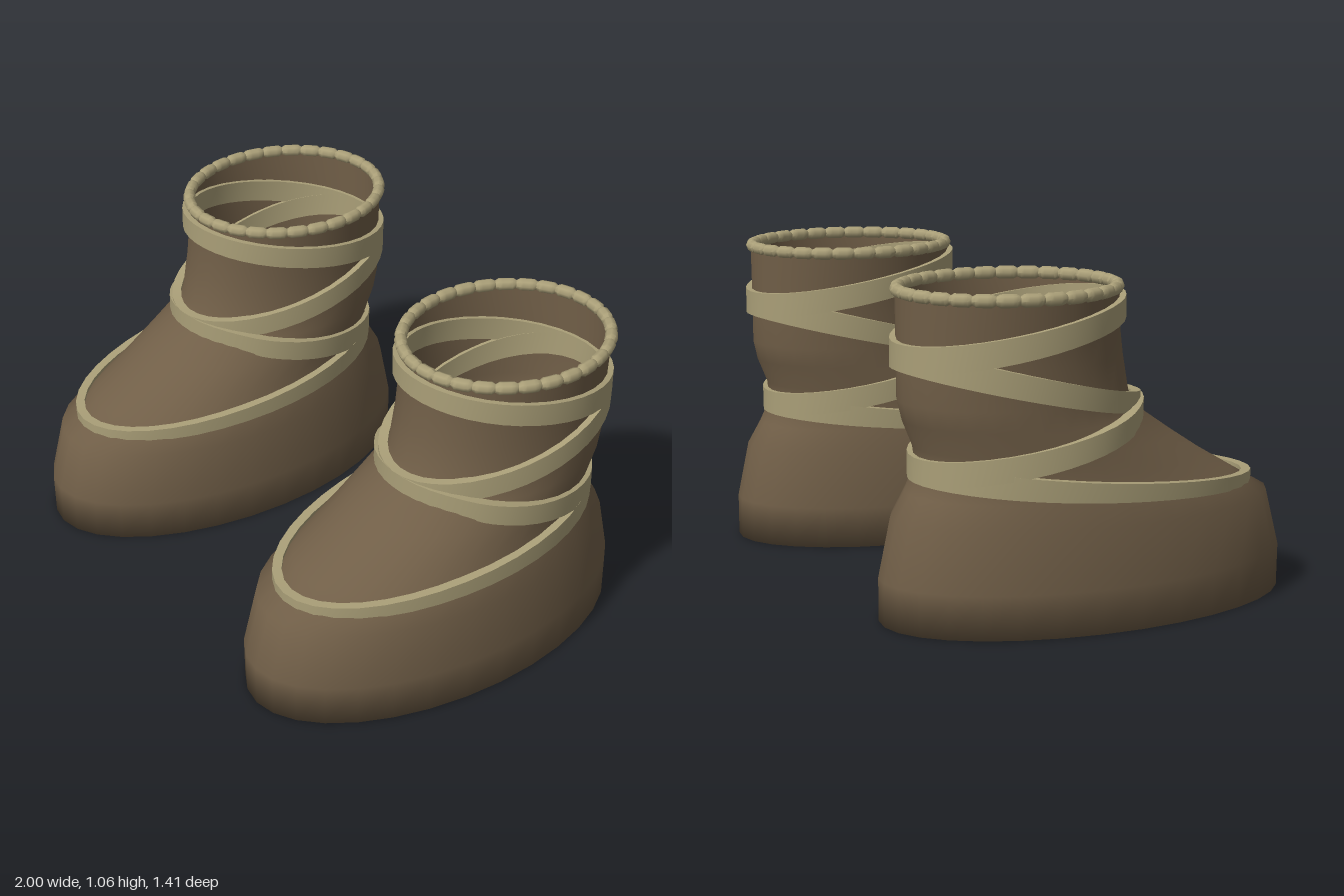
import * as THREE from 'three';
import { toCreasedNormals } from 'three/addons/utils/BufferGeometryUtils.js';

// Boot cross-sections: height, front z, back z, half width
const SECTIONS = [
  [0, 0.705, -0.705, 0.38],
  [0.14, 0.707, -0.705, 0.382],
  [0.33, 0.655, -0.663, 0.368],
  [0.41, 0.515, -0.615, 0.338],
  [0.48, 0.395, -0.58, 0.322],
  [0.55, 0.287, -0.585, 0.312],
  [0.635, 0.163, -0.62, 0.303],
  [0.7, 0.122, -0.635, 0.297],
  [0.82, 0.1, -0.635, 0.295],
  [0.93, 0.085, -0.635, 0.3],
  [1.04, 0.085, -0.635, 0.31],
];

// Ellipse of the boot at any height
function sectionAt(y) {
  let i = 0;
  while (i < SECTIONS.length - 2 && SECTIONS[i + 1][0] < y) i++;
  const a = SECTIONS[i], b = SECTIONS[i + 1];
  const t = (y - a[0]) / (b[0] - a[0]);
  const [front, back, hw] = [1, 2, 3].map((k) => a[k] + (b[k] - a[k]) * t);
  return { zc: (front + back) / 2, hz: (front - back) / 2, hw };
}

// Skins a grid of closed loops; point(row, angle, column) returns [x, y, z]
function loft(rows, cols, point) {
  const pos = [], index = [];
  for (let i = 0; i < rows; i++) {
    for (let j = 0; j < cols; j++) pos.push(...point(i, (j / cols) * Math.PI * 2, j));
  }
  for (let i = 0; i < rows - 1; i++) {
    for (let j = 0; j < cols; j++) {
      const k = (j + 1) % cols;
      const a = i * cols + j, b = i * cols + k, c = b + cols, d = a + cols;
      index.push(a, b, c, a, c, d);
    }
  }
  const g = new THREE.BufferGeometry();
  g.setAttribute('position', new THREE.Float32BufferAttribute(pos, 3));
  g.setIndex(index);
  return g;
}

// Boot shell: flat sole closing to the centre line, then walls up to the open top
function shellGeometry() {
  const g = loft(SECTIONS.length + 1, 32, (i, a) => {
    const y = i === 0 ? 0 : SECTIONS[i - 1][0];
    const s = sectionAt(y);
    const k = i === 0 ? 0.001 : 1;
    return [Math.sin(a) * s.hw * k, y, s.zc + Math.cos(a) * s.hz * k];
  });
  g.computeVertexNormals();
  return g;
}

// Tilted strap around the boot, with a rectangular cross-section
function strapGeometry(yFront, yBack, hFront, hBack) {
  const corners = [[-0.012, -1], [0.02, -1], [0.02, 1], [-0.012, 1], [-0.012, -1]];
  const g = loft(corners.length, 40, (i, a) => {
    const t = (1 - Math.cos(a)) / 2;
    const y = yFront + (yBack - yFront) * t;
    const half = hFront + (hBack - hFront) * t;
    const s = sectionAt(y);
    const [out, v] = corners[i];
    return [Math.sin(a) * (s.hw + out), y + v * half, s.zc + Math.cos(a) * (s.hz + out)];
  });
  return toCreasedNormals(g, 0.7);
}

// Rope rim, pinched at regular grooves
function rimGeometry() {
  const sides = 8, beads = 30, steps = 6;
  const g = loft(sides + 1, beads * steps, (i, a, j) => {
    const p = (i / sides) * Math.PI * 2;
    const r = j % steps === 0 ? 0.014 : 0.021;
    const out = Math.cos(p) * r;
    return [
      Math.sin(a) * (0.31 + out),
      1.039 + Math.sin(p) * r,
      -0.277 + Math.cos(a) * (0.351 + out),
    ];
  });
  return toCreasedNormals(g, 0.9);
}

export function createModel() {
  const leather = new THREE.MeshStandardMaterial({ color: 0x705e47, side: THREE.DoubleSide });
  leather.name = 'brown leather';
  const cord = new THREE.MeshStandardMaterial({ color: 0xaa9f78 });
  cord.name = 'pale strap';

  // Front height, back height, front half width, back half width
  const straps = [
    [0.982, 0.845, 0.036, 0.042],
    [0.655, 0.845, 0.034, 0.042],
    [0.655, 0.488, 0.034, 0.04],
    [0.375, 0.488, 0.02, 0.04],
  ].map((s) => strapGeometry(...s));
  const shell = shellGeometry();
  const rim = rimGeometry();

  const model = new THREE.Group();
  model.name = 'pairOfBoots';
  for (const side of [1, -1]) {
    const boot = new THREE.Group();
    boot.name = side > 0 ? 'leftBoot' : 'rightBoot';
    const add = (name, geometry, material) => {
      const mesh = new THREE.Mesh(geometry, material);
      mesh.name = name;
      boot.add(mesh);
    };
    add('bootShell', shell, leather);
    add('ropeRim', rim, cord);
    straps.forEach((g, i) => add(`strap${i + 1}`, g, cord));
    boot.position.x = side * 0.618;
    model.add(boot);
  }
  return model;
}
